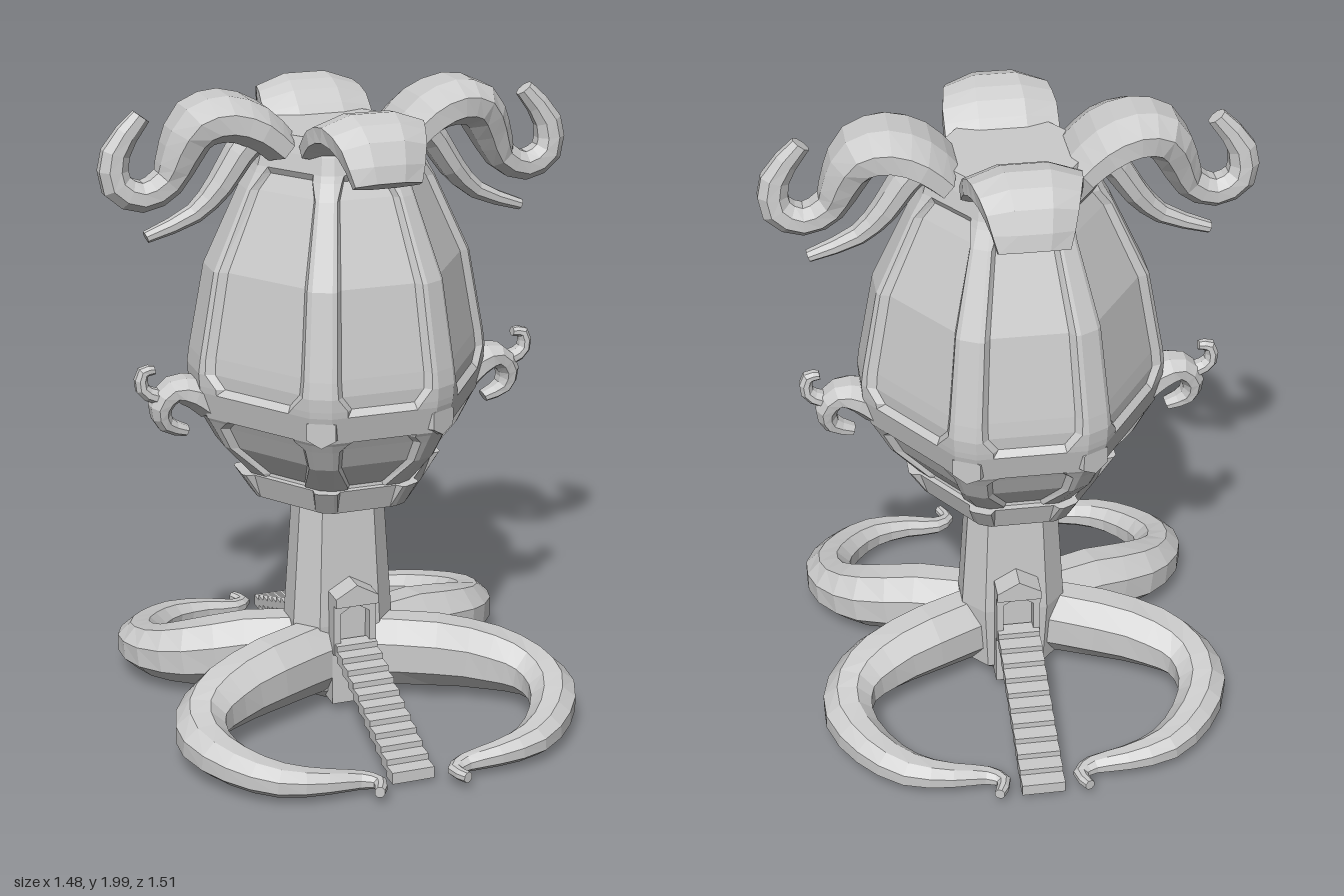
import * as THREE from 'three';

const V = (x, y, z) => new THREE.Vector3(x, y, z);
const grey = new THREE.MeshStandardMaterial({ color: 0xcccccc, flatShading: true, side: THREE.DoubleSide });
const CZ = -0.035; // z of the tower axis

function mesh(geo, name) {
  const m = new THREE.Mesh(geo, grey);
  m.name = name;
  return m;
}

// Skin a list of rings (clockwise about the direction of travel) and cap both ends
function loft(rings, name) {
  const pos = [];
  const tri = (...ps) => ps.forEach(p => pos.push(p.x, p.y, p.z));
  const n = rings[0].length;
  for (let i = 0; i < rings.length - 1; i++) {
    for (let j = 0; j < n; j++) {
      const k = (j + 1) % n, A = rings[i], B = rings[i + 1];
      tri(A[j], B[j], A[k]);
      tri(A[k], B[j], B[k]);
    }
  }
  const cap = (ring, flip) => {
    const c = ring.reduce((s, p) => s.add(p), V(0, 0, 0)).divideScalar(n);
    ring.forEach((p, j) => {
      const q = ring[(j + 1) % n];
      flip ? tri(c, q, p) : tri(c, p, q);
    });
  };
  cap(rings[0], false);
  cap(rings[rings.length - 1], true);
  const g = new THREE.BufferGeometry();
  g.setAttribute('position', new THREE.Float32BufferAttribute(pos, 3));
  g.computeVertexNormals();
  return mesh(g, name);
}

// Tapering curved limb: stations are [x, y, z, half width across ref, half width along ref]
function limb(stations, ref, name) {
  const curve = new THREE.CatmullRomCurve3(stations.map(s => V(s[0], s[1], s[2])));
  const last = stations.length - 1, steps = last * 2, sides = 8, rings = [];
  for (let i = 0; i <= steps; i++) {
    const lo = stations[Math.floor(i / 2)], hi = stations[Math.ceil(i / 2)];
    const t = curve.getTangent(i / steps), p = curve.getPoint(i / steps);
    const b = ref.clone().addScaledVector(t, -ref.dot(t)).normalize();
    const a = t.clone().cross(b);
    rings.push(Array.from({ length: sides }, (_, j) => {
      const th = (j + 0.5) / sides * Math.PI * 2;
      return p.clone().addScaledVector(a, Math.cos(th) * (lo[3] + hi[3]) / 2)
        .addScaledVector(b, Math.sin(th) * (lo[4] + hi[4]) / 2);
    }));
  }
  return loft(rings, name);
}

// Six wide panels separated by narrow ridges, clockwise from the front
const outline = [[0.165, 0.43], [-0.165, 0.43], [-0.225, 0.40], [-0.46, 0.065], [-0.46, -0.065], [-0.225, -0.40],
  [-0.165, -0.43], [0.165, -0.43], [0.225, -0.40], [0.46, -0.065], [0.46, 0.065], [0.225, 0.40]];

// Ring with extra points on each panel so its middle can be sunk
function panelRing([y, s, sunk, inset]) {
  const ring = [];
  for (let i = 0; i < 12; i += 2) {
    const [x0, z0] = outline[i], [x1, z1] = outline[i + 1];
    for (const u of [0, inset, inset + 0.04, 0.96 - inset, 1 - inset, 1]) {
      const k = sunk && u > inset + 0.01 && u < 0.99 - inset ? s - 0.045 : s;
      ring.push(V((x0 + (x1 - x0) * u) * k, y, (z0 + (z1 - z0) * u) * k + CZ));
    }
  }
  return ring;
}

function body() {
  const g = new THREE.Group();
  g.name = 'body';
  const rows = [ // y, scale, sunk, inset
    [0.72, 0.45, 0, 0.1], [0.79, 0.62, 0, 0.2], [0.81, 0.66, 1, 0.2], [0.90, 0.83, 1, 0.06],
    [0.97, 0.91, 1, 0.07], [0.995, 0.94, 1, 0.16], [1.005, 0.955, 0, 0.16], [1.09, 1.0, 0, 0.15],
    [1.11, 1.005, 1, 0.15], [1.15, 1.01, 1, 0.06], [1.20, 0.995, 1, 0.05], [1.46, 0.89, 1, 0.05],
    [1.70, 0.65, 1, 0.05], [1.75, 0.59, 1, 0.12], [1.77, 0.57, 0, 0.12], [1.82, 0.54, 0, 0.1], [1.87, 0.50, 0, 0.1]];
  g.add(loft(rows.map(panelRing), 'panelledShell'));
  const collar = [[0.665, 0.3, 0, 0.05], [0.72, 0.6, 0, 0.05], [0.80, 0.71, 1, 0.05], [0.80, 0.6, 0, 0.05]];
  g.add(loft(collar.map(panelRing), 'collar'));
  // Hexagonal bosses on the four diagonal ridges
  for (const sx of [-1, 1]) for (const sz of [-1, 1]) {
    const geo = new THREE.CylinderGeometry(0.05, 0.055, 0.03, 6);
    geo.rotateX(Math.PI / 2);
    const boss = mesh(geo, 'boss');
    boss.position.set(sx * 0.186, 1.045, sz * 0.398 + CZ);
    boss.rotation.y = Math.atan2(sx * 0.5, sz);
    g.add(boss);
  }
  return g;
}

function horns() {
  const g = new THREE.Group();
  g.name = 'horns';
  // Profiles in a side plane: outward, y, in-plane half width, half breadth
  const sideParts = {
    largeHorn: [[0.20, 1.83, 0.06, 0.17], [0.27, 1.89, 0.07, 0.17], [0.36, 1.92, 0.075, 0.155],
      [0.44, 1.90, 0.075, 0.135], [0.49, 1.82, 0.065, 0.10], [0.53, 1.735, 0.05, 0.07], [0.61, 1.695, 0.048, 0.06],
      [0.685, 1.735, 0.05, 0.05], [0.685, 1.83, 0.045, 0.04], [0.605, 1.935, 0.03, 0.025]],
    lowerHorn: [[0.25, 1.87, 0.05, 0.08], [0.31, 1.80, 0.045, 0.07], [0.37, 1.71, 0.04, 0.06],
      [0.45, 1.63, 0.03, 0.04], [0.60, 1.57, 0.018, 0.025]],
    smallHook: [[0.42, 1.04, 0.055, 0.085], [0.47, 1.075, 0.05, 0.08], [0.53, 1.085, 0.04, 0.065],
      [0.57, 1.035, 0.036, 0.055], [0.555, 0.98, 0.028, 0.045], [0.49, 0.95, 0.018, 0.03]],
    smallCurl: [[0.51, 1.085, 0.035, 0.055], [0.58, 1.07, 0.025, 0.035], [0.625, 1.10, 0.022, 0.03],
      [0.62, 1.15, 0.02, 0.025], [0.585, 1.155, 0.014, 0.018]]
  };
  const endHorn = [[0.165, 1.83, 0.05, 0.185], [0.23, 1.885, 0.06, 0.185], [0.31, 1.91, 0.06, 0.17],
    [0.395, 1.87, 0.055, 0.14], [0.44, 1.78, 0.035, 0.11]];
  for (const s of [-1, 1]) {
    for (const [name, prof] of Object.entries(sideParts)) {
      g.add(limb(prof.map(([o, y, a, b]) => [s * o, y, CZ, a, b]), V(0, 0, 1), name));
    }
    g.add(limb(endHorn.map(([o, y, a, b]) => [0, y, s * o + CZ, a, b]), V(1, 0, 0), 'bluntHorn'));
  }
  return g;
}

function legs() {
  const g = new THREE.Group();
  g.name = 'legs';
  const path = [[0.05, 0.165, 0.02, 0.09, 0.125], [0.28, 0.16, 0.11, 0.10, 0.12], [0.45, 0.135, 0.18, 0.10, 0.105],
    [0.545, 0.115, 0.27, 0.085, 0.085], [0.565, 0.10, 0.39, 0.08, 0.07], [0.505, 0.08, 0.52, 0.07, 0.06],
    [0.40, 0.065, 0.62, 0.06, 0.05], [0.27, 0.055, 0.655, 0.043, 0.038], [0.165, 0.045, 0.66, 0.032, 0.028],
    [0.12, 0.045, 0.695, 0.024, 0.02], [0.14, 0.045, 0.75, 0.016, 0.018]];
  for (const sx of [-1, 1]) for (const sz of [-1, 1]) {
    g.add(limb(path.map(([x, y, z, a, b]) => [x * sx, y, z * sz, a, b]), V(0, 1, 0), 'curledLeg'));
  }
  return g;
}

function stem() {
  const ring = (y, s) => [[0.1, 0.12], [-0.1, 0.12], [-0.165, 0.05], [-0.165, -0.05],
    [-0.1, -0.12], [0.1, -0.12], [0.165, -0.05], [0.165, 0.05]].map(([x, z]) => V(x * s, y, z * s + CZ));
  return loft([ring(0, 0.5), ring(0.05, 0.9), ring(0.28, 1), ring(0.69, 0.84)], 'stem');
}

// Gabled doorway with a sawtooth stair running outward along +z
function entrance() {
  const g = new THREE.Group();
  g.name = 'entrance';
  const gable = (w, y0, y1, y2, C) => {
    const s = new C();
    [[-w, y0], [w, y0], [w, y1], [0, y2], [-w, y1]].forEach(([x, y], i) => i ? s.lineTo(x, y) : s.moveTo(x, y));
    s.closePath();
    return s;
  };
  const extrude = (shape, depth) => new THREE.ExtrudeGeometry(shape, { depth, bevelEnabled: false });
  const frame = gable(0.07, 0.2, 0.395, 0.44, THREE.Shape);
  frame.holes.push(gable(0.048, 0.215, 0.34, 0.37, THREE.Path));
  const f = mesh(extrude(frame, 0.09), 'doorFrame');
  f.position.z = 0.08;
  const d = mesh(extrude(gable(0.05, 0.2, 0.345, 0.375, THREE.Shape), 0.03), 'door');
  d.position.z = 0.1;
  const hood = mesh(extrude(gable(0.07, 0.37, 0.4, 0.44, THREE.Shape), 0.11), 'doorHood');
  hood.position.z = 0.08;
  const base = mesh(new THREE.BoxGeometry(0.14, 0.2, 0.09), 'doorBase');
  base.position.set(0, 0.125, 0.11);

  const N = 11, z0 = 0.14, run = (0.695 - z0) / N, rise = 0.21 / N, s = new THREE.Shape();
  s.moveTo(z0, 0.222);
  for (let i = 0; i < N; i++) {
    s.lineTo(z0 + i * run, 0.24 - i * rise);
    s.lineTo(z0 + (i + 1) * run, 0.24 - i * rise);
  }
  for (let i = N; i > 0; i--) {
    s.lineTo(z0 + i * run, 0.222 - i * rise);
    s.lineTo(z0 + (i - 1) * run, 0.222 - i * rise);
  }
  const geo = extrude(s, 0.134);
  geo.rotateY(-Math.PI / 2);
  geo.translate(0.067, 0, 0);
  g.add(f, d, hood, base, mesh(geo, 'stairs'));
  g.position.z = CZ;
  return g;
}

export function createModel() {
  const model = new THREE.Group();
  model.name = 'tower';
  const back = entrance();
  back.name = 'backEntrance';
  back.rotation.y = Math.PI;
  model.add(body(), horns(), stem(), legs(), entrance(), back);
  return model;
}
